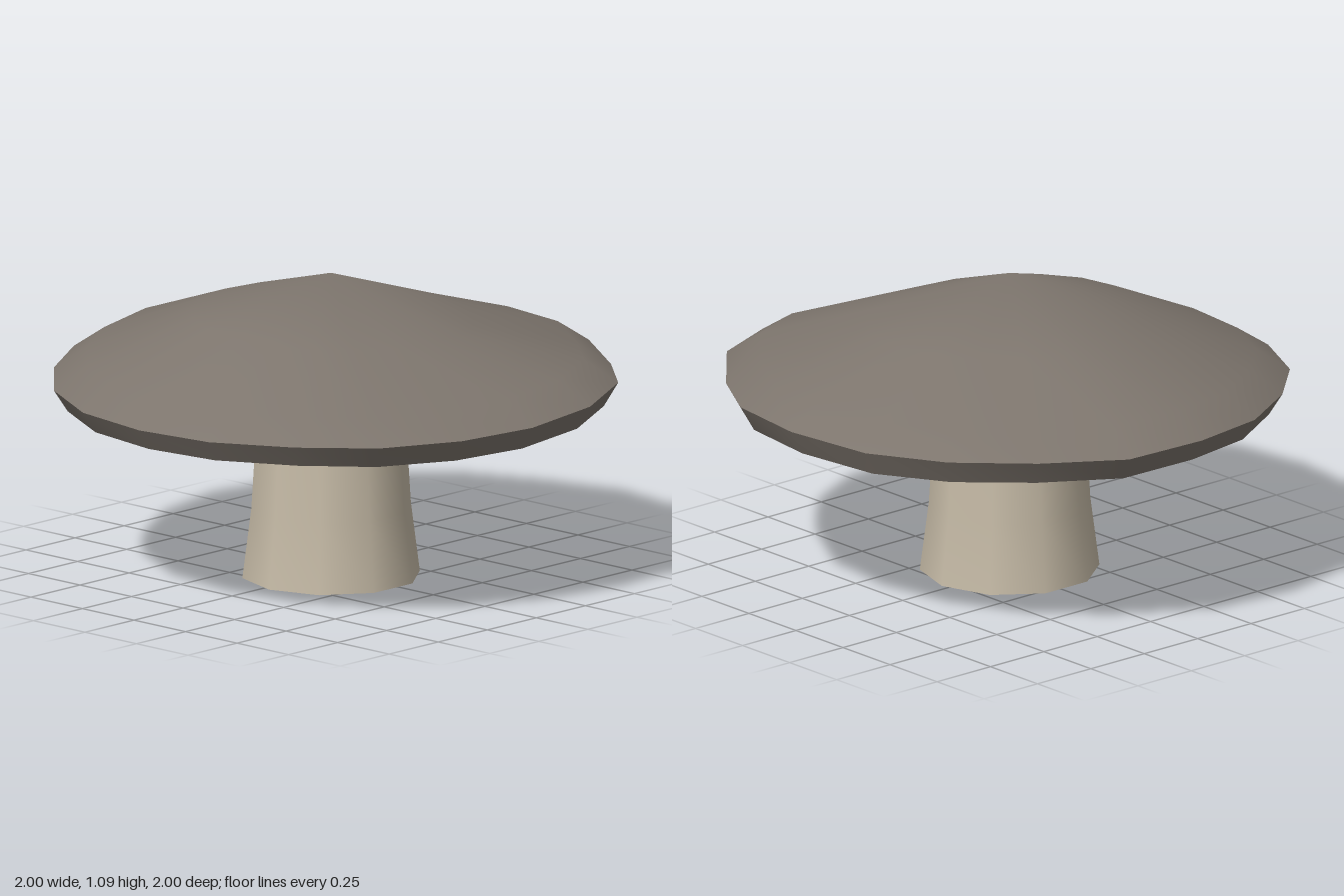
import * as THREE from 'three';
import { mergeVertices } from 'three/addons/utils/BufferGeometryUtils.js';

// Smooth skin over closed rings of points, ordered from the top outwards and under
function loft(rings) {
  const n = rings[0].length, index = [];
  for (let r = 0; r < rings.length - 1; r++) {
    for (let j = 0; j < n; j++) {
      const a = r * n + j, b = r * n + (j + 1) % n;
      index.push(a, b, a + n, b, b + n, a + n);
    }
  }
  const geometry = new THREE.BufferGeometry();
  geometry.setAttribute('position', new THREE.Float32BufferAttribute(rings.flat(2), 3));
  geometry.setIndex(index);
  const merged = mergeVertices(geometry);
  merged.computeVertexNormals();
  return merged;
}

function part(name, geometry, material) {
  const mesh = new THREE.Mesh(geometry, material);
  mesh.name = name;
  return mesh;
}

export function createModel() {
  const capMaterial = new THREE.MeshStandardMaterial({ color: 0x7d756d });
  capMaterial.name = 'cap grey brown';
  const gillMaterial = new THREE.MeshStandardMaterial({ color: 0xbfb39e });
  gillMaterial.name = 'underside beige';
  const stemMaterial = new THREE.MeshStandardMaterial({ color: 0xc5baa6 });
  stemMaterial.name = 'stem cream';

  const group = new THREE.Group();
  group.name = 'mushroom';

  // Uneven rim of the cap
  const rim = [
    [1, 0.73, 0.025], [0.955, 0.73, 0.345], [0.79, 0.715, 0.61], [0.575, 0.725, 0.85], [0.29, 0.71, 0.985],
    [-0.02, 0.69, 1], [-0.32, 0.685, 0.945], [-0.6, 0.685, 0.81], [-0.81, 0.69, 0.6], [-0.96, 0.69, 0.325],
    [-1, 0.69, 0.025], [-0.96, 0.695, -0.285], [-0.82, 0.705, -0.56], [-0.6, 0.715, -0.77], [-0.33, 0.72, -0.93],
    [-0.02, 0.73, -1], [0.29, 0.72, -0.965], [0.57, 0.725, -0.8], [0.8, 0.725, -0.58], [0.93, 0.715, -0.29],
  ];
  const cx = -0.025, cz = 0.028;
  const apex = rim.map(() => [cx, 1.09, cz]);
  const middle = rim.map(([x, , z]) => [cx + (x - cx) * 0.5, 0.932 - 0.004 * x - 0.015 * z, cz + (z - cz) * 0.5]);
  // Two small dents sit in the shoulder ring
  const dents = { 6: 0.025, 17: 0.025 };
  const shoulder = rim.map(([x, y, z], i) => [x * 0.88, y + 0.08 - (dents[i] ?? 0), z * 0.88]);
  const lip = rim.map(([x, y, z]) => [x * 0.95, y - 0.083 - 0.007 * x, z * 0.95]);
  const underCentre = rim.map(() => [cx, 0.72, cz]);

  group.add(part('capTop', loft([apex, middle, shoulder, rim]), capMaterial));
  group.add(part('capEdge', loft([rim, lip]), capMaterial));
  // Shallow hollow under the cap
  group.add(part('capUnderside', loft([lip, underCentre]), gillMaterial));

  // Flared ten-sided stem
  const profile = [[0.317, 0], [0.285, 0.25], [0.256, 0.72]].map(([r, y]) => new THREE.Vector2(r, y));
  const stem = part('stem', new THREE.LatheGeometry(profile, 10, Math.PI / 2), stemMaterial);
  stem.position.set(cx, 0, cz);
  group.add(stem);

  // Flat foot closing the stem
  const foot = part('stemBase', new THREE.CircleGeometry(0.317, 10), stemMaterial);
  foot.rotation.x = Math.PI / 2;
  foot.position.set(cx, 0, cz);
  group.add(foot);

  return group;
}
